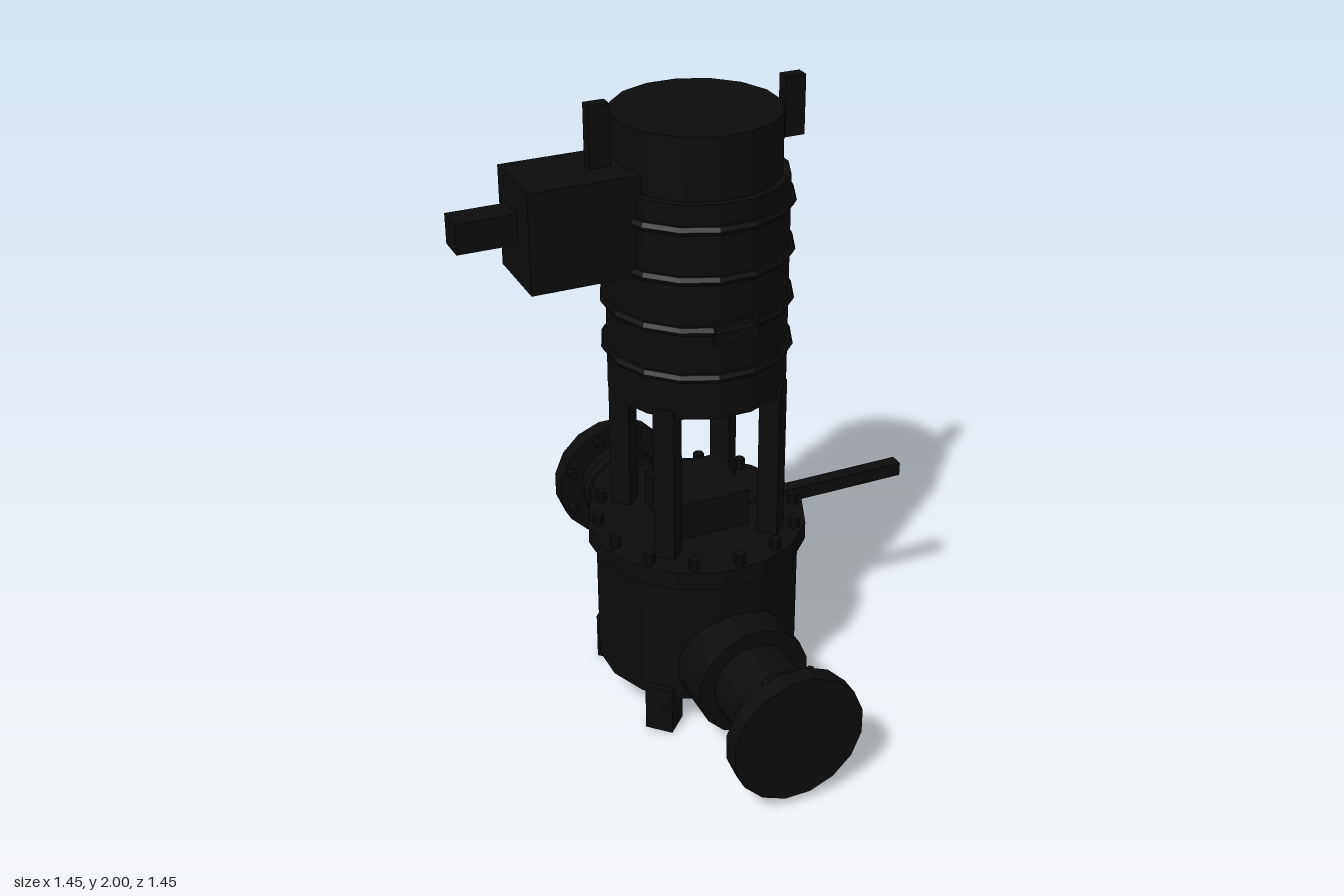
import * as THREE from 'three';

const iron = new THREE.MeshStandardMaterial({ color: 0x0b0b0b, flatShading: true });
iron.name = 'black iron';
const SIDES = 16;
const HALF = Math.PI / SIDES; // turns a flat face towards each axis

export function createModel() {
  const root = new THREE.Group();
  root.name = 'verticalPump';

  const add = (parent, name, geometry, x = 0, y = 0, z = 0) => {
    const mesh = new THREE.Mesh(geometry, iron);
    mesh.name = name;
    mesh.position.set(x, y, z);
    parent.add(mesh);
    return mesh;
  };
  // Box given by its min and max corners
  const box = (name, x0, x1, y0, y1, z0, z1) =>
    add(root, name, new THREE.BoxGeometry(x1 - x0, y1 - y0, z1 - z0),
      (x0 + x1) / 2, (y0 + y1) / 2, (z0 + z1) / 2);
  // Faceted drum between two heights; r is the distance to its flat faces
  const drum = (parent, name, r, y0, y1) => {
    const R = r / Math.cos(HALF);
    const g = new THREE.CylinderGeometry(R, R, y1 - y0, SIDES).rotateY(HALF);
    return add(parent, name, g, 0, (y0 + y1) / 2, 0);
  };

  // Pump casing with its bolted cover
  drum(root, 'casing', 0.314, 0.125, 0.56);
  drum(root, 'coverFlange', 0.337, 0.55, 0.61);
  for (let i = 0; i < 14; i++) {
    const a = (i / 14) * Math.PI * 2;
    add(root, 'coverBolt', new THREE.CylinderGeometry(0.018, 0.018, 0.045, 6),
      0.311 * Math.sin(a), 0.6225, 0.311 * Math.cos(a));
  }
  box('shaftHousing', -0.122, 0.122, 0.6, 0.73, -0.122, 0.122);
  box('lever', 0.1, 0.722, 0.58, 0.625, -0.022, 0.022);

  // Feet and motor columns on the diagonals
  for (const sx of [-1, 1]) for (const sz of [-1, 1]) {
    add(root, 'foot', new THREE.BoxGeometry(0.089, 0.16, 0.089),
      sx * 0.205, 0.08, sz * 0.205).rotation.y = Math.PI / 4;
    add(root, 'column', new THREE.BoxGeometry(0.065, 0.53, 0.065),
      sx * 0.172, 0.855, sz * 0.172).rotation.y = Math.PI / 4;
  }

  // Motor with cooling rings and cap
  drum(root, 'motorBody', 0.266, 1.095, 1.76);
  drum(root, 'motorCap', 0.243, 1.75, 1.945);
  for (const y of [1.23, 1.38, 1.535, 1.685]) {
    const g = new THREE.TorusGeometry(0.273, 0.015, 6, SIDES).rotateX(Math.PI / 2).rotateY(HALF);
    add(root, 'motorRing', g, 0, y, 0);
  }
  box('namePlate', -0.07, 0.07, 1.34, 1.41, 0.255, 0.28);

  // Lifting lugs
  for (const s of [-1, 1]) {
    add(root, 'liftingLug', new THREE.BoxGeometry(0.063, 0.18, 0.042), s * 0.3, 1.91, 0);
  }

  // Terminal box and cable conduit
  box('terminalBox', -0.55, -0.22, 1.52, 1.82, -0.12, 0.12);
  box('conduit', -0.727, -0.54, 1.638, 1.728, -0.062, 0.028);

  // Nozzles: built along +y, then turned to face front or back
  const nozzle = (name, y, dir) => {
    const g = new THREE.Group();
    g.name = name;
    drum(g, 'nozzleCollar', 0.18, 0.2, 0.424);
    drum(g, 'nozzlePipe', 0.132, 0.42, 0.67);
    drum(g, 'nozzleBand', 0.142, 0.585, 0.622);
    drum(g, 'nozzleFlange', 0.208, 0.667, 0.726);
    for (let i = 0; i < 8; i++) {
      const a = ((i + 0.5) / 8) * Math.PI * 2;
      add(g, 'nozzleBolt', new THREE.CylinderGeometry(0.016, 0.016, 0.045, 6),
        0.184 * Math.cos(a), 0.66, 0.184 * Math.sin(a));
    }
    g.rotation.x = dir * Math.PI / 2;
    g.position.y = y;
    root.add(g);
  };
  nozzle('inletNozzle', 0.245, 1);
  nozzle('outletNozzle', 0.365, -1);

  return root;
}
